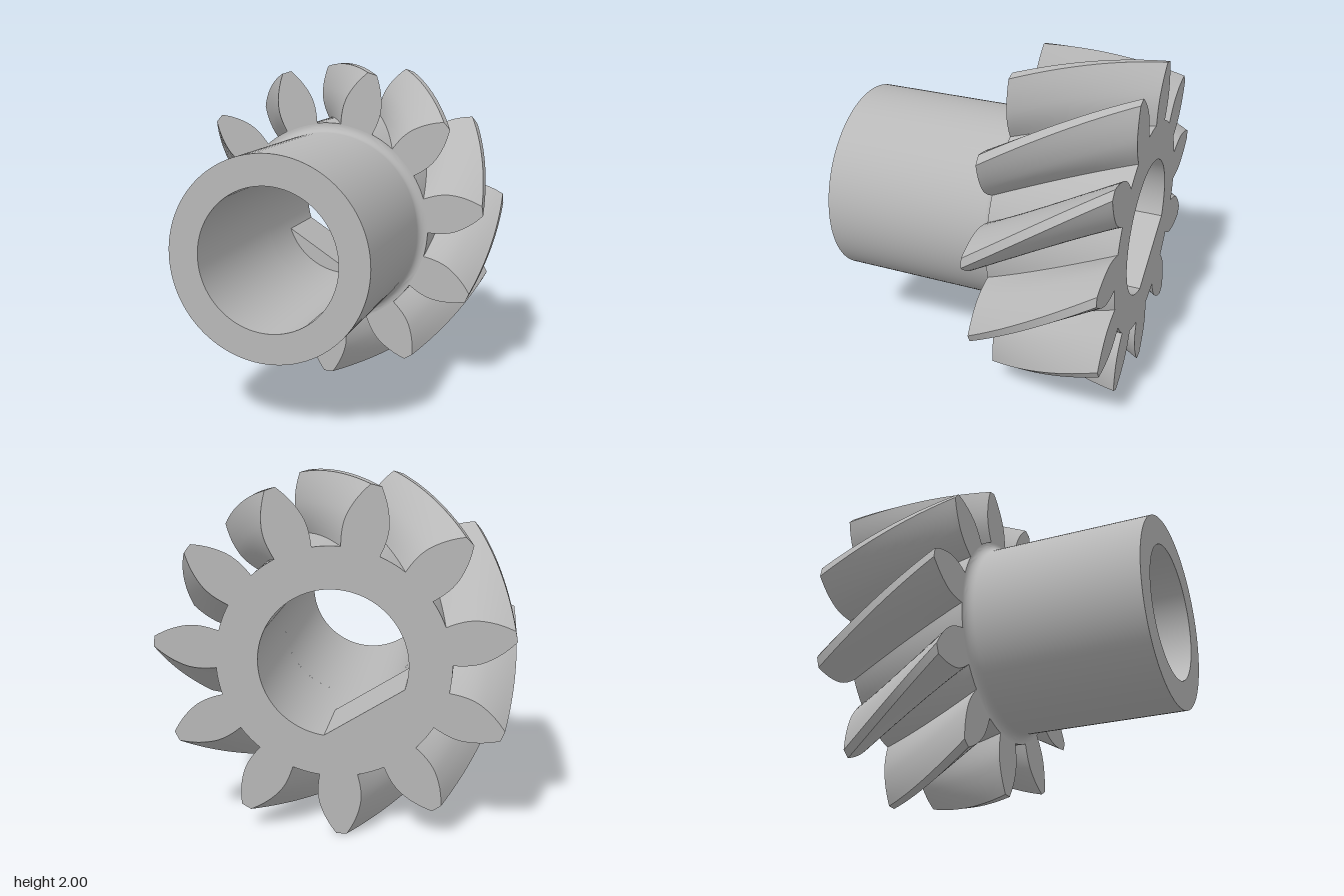
import * as THREE from 'three';
import { toCreasedNormals } from 'three/addons/utils/BufferGeometryUtils.js';

const TEETH = 11, ROOT = 0.65, BORE = 0.415, HUB = 0.593, FILLET = 0.052;
const Z_BACK = -0.92, Z_FACE = -0.15, Z_FRONT = 0.92;
const TWIST = THREE.MathUtils.degToRad(30);

// Gear outline: one curved flank, mirrored and repeated around the axis
function gearShape() {
  const flank = new THREE.SplineCurve([
    [0.107, 0.641], [0.118, 0.70], [0.122, 0.76], [0.115, 0.82],
    [0.092, 0.89], [0.062, 0.95], [0.03, 0.9995],
  ].map(([w, r]) => new THREE.Vector2(r, w))).getPoints(14);
  const pitch = (Math.PI * 2) / TEETH;
  const rootAngle = Math.atan2(0.107, 0.641);
  const origin = new THREE.Vector2();
  const pts = [];
  for (let i = 0; i < TEETH; i++) {
    const a = -Math.PI / 2 + i * pitch;
    const put = (x, y) => pts.push(new THREE.Vector2(x, y).rotateAround(origin, a));
    flank.forEach((p) => put(p.x, -p.y));
    put(1, 0);
    [...flank].reverse().forEach((p) => put(p.x, p.y));
    // floor of the gap to the next tooth
    for (let k = 1; k < 5; k++) {
      const t = rootAngle + (pitch - 2 * rootAngle) * (k / 5);
      put(ROOT * Math.cos(t), ROOT * Math.sin(t));
    }
  }
  const shape = new THREE.Shape(pts);
  shape.holes.push(new THREE.Path().absarc(0, 0, BORE, 0, Math.PI * 2, true));
  return shape;
}

export function createModel() {
  const group = new THREE.Group();
  const steel = new THREE.MeshStandardMaterial({ color: 0xb8b8b8 });
  steel.name = 'grey steel';

  const add = (name, geometry) => {
    const mesh = new THREE.Mesh(geometry, steel);
    mesh.name = name;
    mesh.position.y = 1;
    group.add(mesh);
  };

  // Helical gear: extruded outline, turned steadily from front to back
  const gear = new THREE.ExtrudeGeometry(gearShape(), {
    depth: Z_FACE - Z_BACK, steps: 24, bevelEnabled: false, curveSegments: 64,
  });
  gear.translate(0, 0, Z_BACK);
  const pos = gear.attributes.position;
  for (let i = 0; i < pos.count; i++) {
    const a = (TWIST * (Z_FACE - pos.getZ(i))) / (Z_FACE - Z_BACK);
    const x = pos.getX(i), y = pos.getY(i);
    pos.setXY(i, x * Math.cos(a) - y * Math.sin(a), x * Math.sin(a) + y * Math.cos(a));
  }
  add('helicalGear', toCreasedNormals(gear, 0.5));

  // Hub: hollow sleeve with a fillet where it meets the gear
  const profile = [];
  for (let k = 0; k <= 8; k++) {
    const t = (k / 8) * Math.PI / 2;
    profile.push(new THREE.Vector2(
      HUB + FILLET * (1 - Math.sin(t)), Z_FACE + FILLET * (1 - Math.cos(t))));
  }
  profile.push(new THREE.Vector2(HUB, Z_FRONT), new THREE.Vector2(BORE, Z_FRONT),
    new THREE.Vector2(BORE, Z_FACE));
  const hub = new THREE.LatheGeometry(profile, 96);
  hub.rotateX(Math.PI / 2);
  add('hubSleeve', toCreasedNormals(hub, 0.5));

  // Flat that makes the rear of the bore D-shaped
  const from = Math.atan2(-0.13, -0.394), to = Math.atan2(-0.412, 0.05);
  const segment = new THREE.Shape().absarc(0, 0, BORE, from, to, false);
  const flat = new THREE.ExtrudeGeometry(segment, {
    depth: 0.42, bevelEnabled: false, curveSegments: 24,
  });
  flat.translate(0, 0, Z_BACK);
  add('boreFlat', flat);

  return group;
}
